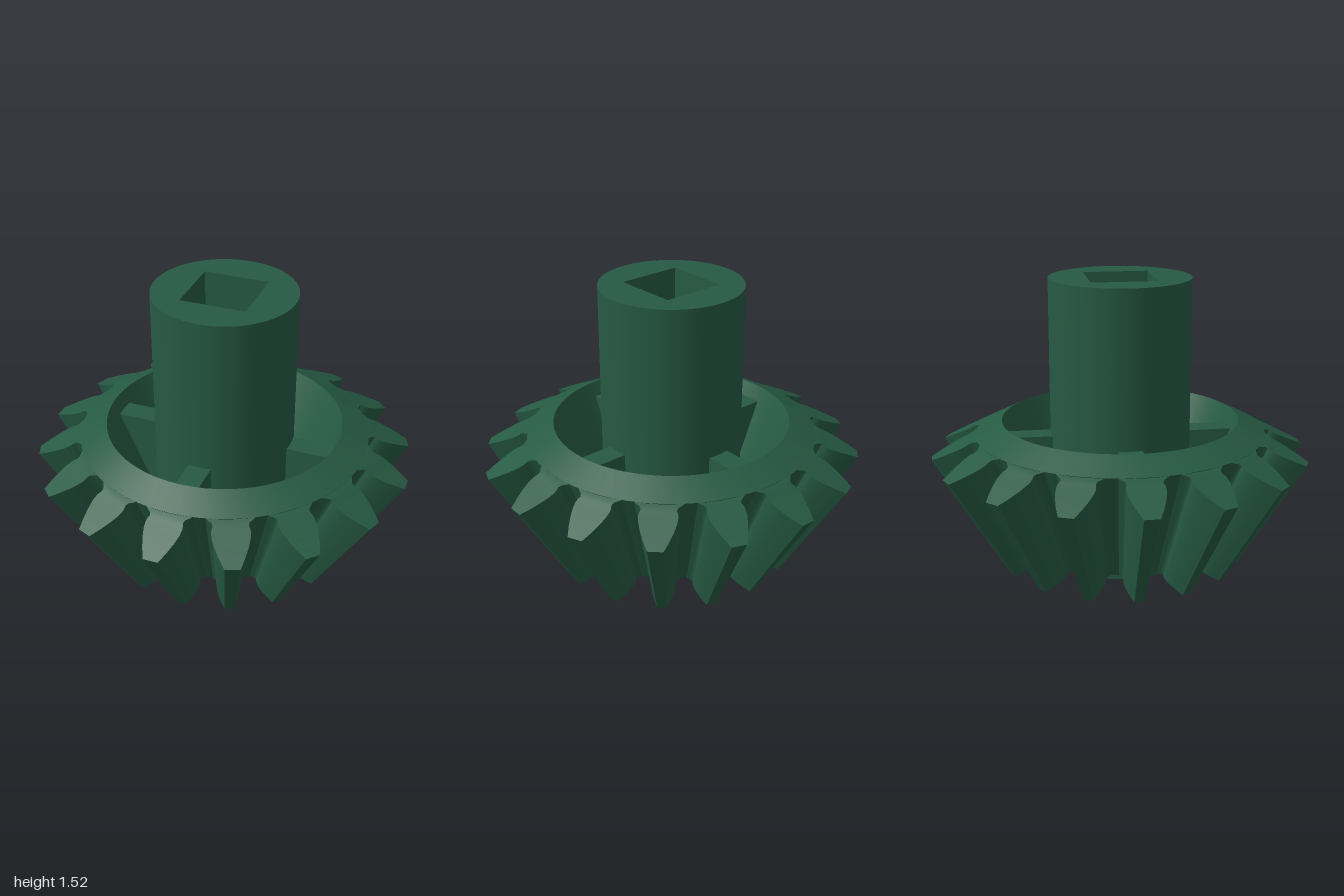
import * as THREE from 'three';
import { toCreasedNormals } from 'three/addons/utils/BufferGeometryUtils.js';

const TEETH = 16;
const APEX_Y = -1.09;    // all tooth lines run to this point on the axis
const SMALL_END = 0.655; // scale of the small end relative to the large end
const HUB_R = 0.372, HUB_H = 1.525;

// Tooth half-outline from root to tip: [radius, half width]
const FLANK = [
  [0.755, 0.125], [0.772, 0.108], [0.785, 0.091], [0.8, 0.086], [0.815, 0.092], [0.83, 0.095],
  [0.86, 0.092], [0.9, 0.081], [0.95, 0.062], [1, 0.038],
];

// Point on the back cone, scaled toward the apex
function conePoint(r, x, scale) {
  const y = 0.59 + 0.5 * (1 - Math.hypot(r, x));
  return [x * scale, APEX_Y + (y - APEX_Y) * scale, r * scale];
}

function toothGeometry() {
  const pos = [];
  const quad = (a, b, c, d) => pos.push(...a, ...b, ...c, ...a, ...c, ...d);
  const outline = [
    ...FLANK.map(([r, w]) => [r, -w]),
    ...[...FLANK].reverse(),
  ];
  const top = outline.map(([r, x]) => conePoint(r, x, 1));
  const low = outline.map(([r, x]) => conePoint(r, x, SMALL_END));
  const n = outline.length;
  // Flanks and tip
  for (let i = 0; i < n - 1; i++) quad(low[i], low[i + 1], top[i + 1], top[i]);
  // End faces, as strips across the tooth
  for (let i = 0; i < FLANK.length - 1; i++) {
    const j = n - 1 - i;
    quad(top[i], top[i + 1], top[j - 1], top[j]);
    quad(low[j], low[j - 1], low[i + 1], low[i]);
  }
  const g = new THREE.BufferGeometry();
  g.setAttribute('position', new THREE.Float32BufferAttribute(pos, 3));
  return toCreasedNormals(g, 0.6);
}

export function createModel() {
  const model = new THREE.Group();
  model.name = 'bevelGear';
  const material = new THREE.MeshStandardMaterial({ color: 0x265a43 });
  const add = (name, geometry, parent = model) => {
    const mesh = new THREE.Mesh(geometry, material);
    mesh.name = name;
    parent.add(mesh);
    return mesh;
  };

  // Hub with a square bore
  const half = 0.172;
  const ring = new THREE.Shape().absarc(0, 0, HUB_R, 0, Math.PI * 2, false);
  ring.holes.push(new THREE.Path([[-half, -half], [-half, half], [half, half], [half, -half]]
    .map(([x, y]) => new THREE.Vector2(x, y))));
  const hub = new THREE.ExtrudeGeometry(ring, { depth: HUB_H, bevelEnabled: false, curveSegments: 64 });
  hub.rotateX(-Math.PI / 2);
  add('hub', toCreasedNormals(hub, 0.5));

  // Conical body, hollowed around the hub
  const profile = [[0.36, 0.158], [0.504, 0.086], [0.77, 0.705], [0.628, 0.775], [0.415, 0.285], [0.36, 0.285]]
    .map(([r, y]) => new THREE.Vector2(r, y));
  add('body', toCreasedNormals(new THREE.LatheGeometry(profile, 64), 0.5));

  // Teeth
  const teeth = new THREE.Group();
  teeth.name = 'teeth';
  model.add(teeth);
  const tooth = toothGeometry();
  for (let i = 0; i < TEETH; i++) {
    add('tooth', tooth, teeth).rotation.y = (i / TEETH) * Math.PI * 2;
  }

  // Four ribs between the hub and the cup wall
  const ribShape = new THREE.Shape([[0.36, 0.27], [0.42, 0.27], [0.605, 0.7], [0.36, 0.7]]
    .map(([x, y]) => new THREE.Vector2(x, y)));
  const rib = new THREE.ExtrudeGeometry(ribShape, { depth: 0.122, bevelEnabled: false });
  rib.translate(0, 0, -0.061);
  for (let i = 0; i < 4; i++) add('rib', rib).rotation.y = (i * Math.PI) / 2;

  return model;
}
